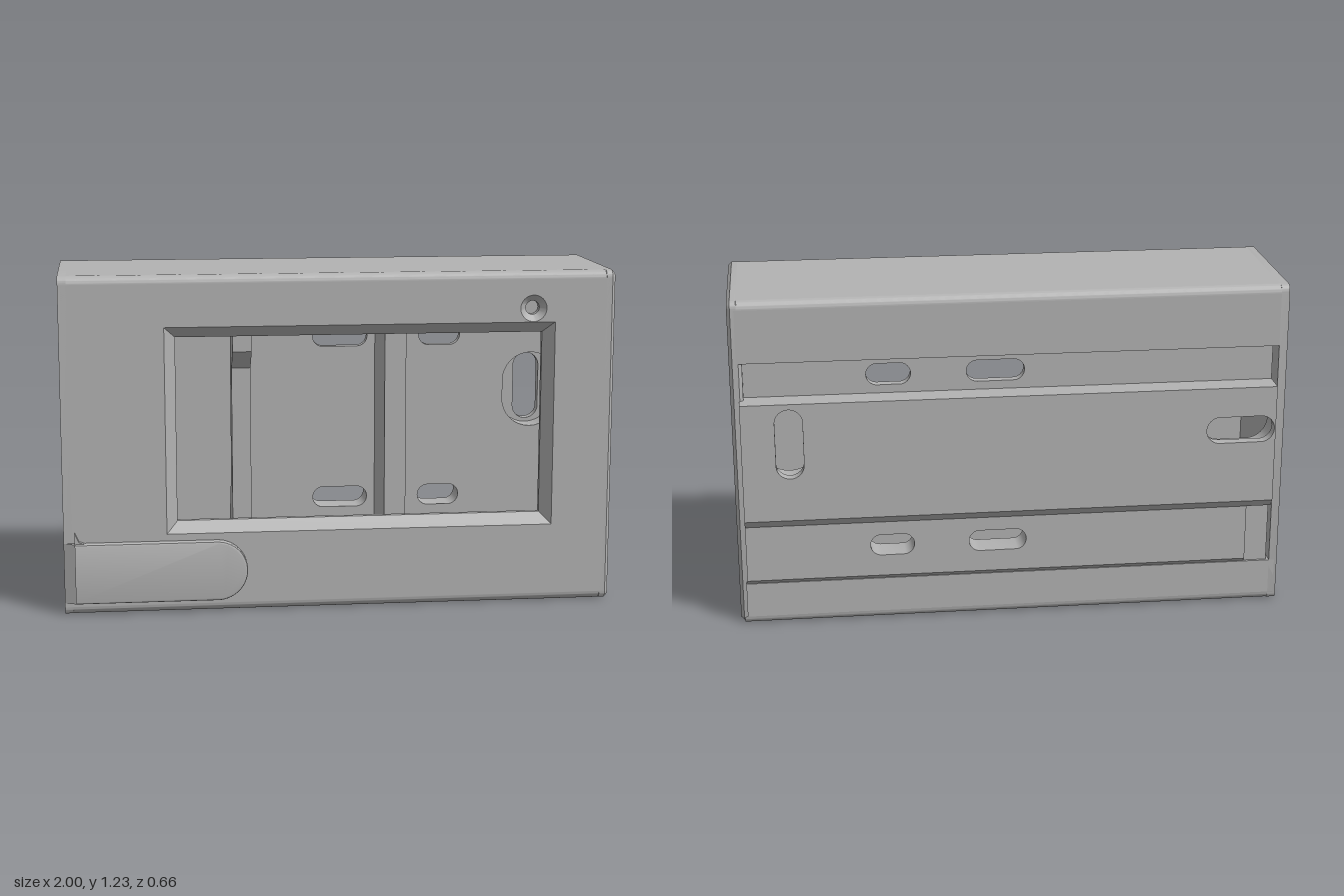
import * as THREE from 'three';
import { toCreasedNormals } from 'three/addons/utils/BufferGeometryUtils.js';

const casing = new THREE.MeshStandardMaterial({ color: 0xb2b2b2, side: THREE.DoubleSide });
casing.name = 'casingGrey';

function add(group, name, geo) {
  const mesh = new THREE.Mesh(geo, casing);
  mesh.name = name;
  group.add(mesh);
  return mesh;
}

// Outline helpers
const rect = (x0, y0, x1, y1) => [[x0, y0], [x1, y0], [x1, y1], [x0, y1]].map(p => new THREE.Vector2(...p));

function circle(cx, cy, r, n = 32) {
  return Array.from({ length: n }, (_, i) => {
    const a = (i / n) * Math.PI * 2;
    return new THREE.Vector2(cx + r * Math.cos(a), cy + r * Math.sin(a));
  });
}

// Oblong with overall width w and height h
function slot(cx, cy, w, h) {
  const r = Math.min(w, h) / 2, dx = w / 2 - r, dy = h / 2 - r;
  return circle(0, 0, r, 32).map((p, i) => {
    const a = ((i + 0.5) / 32) * Math.PI * 2;
    return new THREE.Vector2(cx + p.x + Math.sign(Math.cos(a)) * dx, cy + p.y + Math.sign(Math.sin(a)) * dy);
  });
}

function shapeOf(outline, holes = []) {
  const s = new THREE.Shape(outline);
  s.holes = holes.map(h => new THREE.Path(h));
  return s;
}

// Plate facing the z axis, between z0 and z1
function plate(outline, holes, z0, z1) {
  const geo = new THREE.ExtrudeGeometry(shapeOf(outline, holes), { depth: z1 - z0, bevelEnabled: false });
  return toCreasedNormals(geo.translate(0, 0, z0), 0.5);
}

// Shape drawn in (-z, y), extruded along x
function alongX(shape, x0, x1, bevel = 0) {
  const geo = new THREE.ExtrudeGeometry(shape, {
    depth: x1 - x0 - 2 * bevel, bevelEnabled: bevel > 0, bevelSize: bevel,
    bevelThickness: bevel, bevelOffset: -bevel, bevelSegments: 1
  });
  return toCreasedNormals(geo.translate(0, 0, x0 + bevel).rotateY(Math.PI / 2), 0.5);
}
const prism = (zy, x0, x1) => alongX(new THREE.Shape(zy.map(([z, y]) => new THREE.Vector2(-z, y))), x0, x1);

// Inward-facing wall of an opening: list of [outline, z], front to back
function openingWall(loops) {
  const pos = [];
  for (let k = 0; k + 1 < loops.length; k++) {
    const [a, za] = loops[k], [b, zb] = loops[k + 1], n = a.length;
    for (let i = 0; i < n; i++) {
      const j = (i + 1) % n;
      pos.push(a[i].x, a[i].y, za, a[j].x, a[j].y, za, b[i].x, b[i].y, zb);
      pos.push(a[j].x, a[j].y, za, b[j].x, b[j].y, zb, b[i].x, b[i].y, zb);
    }
  }
  const geo = new THREE.BufferGeometry();
  geo.setAttribute('position', new THREE.Float32BufferAttribute(pos, 3));
  geo.computeVertexNormals();
  return toCreasedNormals(geo, 0.5);
}

// Rounded end profile; the back edge may lean forward at the bottom
function endProfile(backBottom) {
  const r = 0.03, H = 1.225, s = new THREE.Shape();
  s.moveTo(-0.30 + r, 0);
  s.lineTo(-backBottom - r, 0);
  s.quadraticCurveTo(-backBottom, 0, -backBottom, r);
  s.lineTo(0.285, H - r);
  s.quadraticCurveTo(0.285, H, 0.285 - r, H);
  s.lineTo(-0.30 + r, H);
  s.quadraticCurveTo(-0.30, H, -0.30, H - r);
  s.lineTo(-0.30, r);
  s.quadraticCurveTo(-0.30, 0, -0.30 + r, 0);
  return s;
}

function buildCase() {
  const g = new THREE.Group();
  g.name = 'case';

  // Rounded long edges
  for (const [z, y, start] of [[0.27, 1.195, 0.5], [-0.255, 1.195, 0], [0.27, 0.03, 1], [-0.255, 0.03, 1.5]]) {
    const s = new THREE.Shape();
    s.moveTo(-z, y);
    s.absarc(-z, y, 0.03, start * Math.PI, (start + 0.5) * Math.PI);
    add(g, 'roundedEdge', alongX(s, -0.99, 0.985));
  }

  // Top and bottom walls, the bottom one with a cable opening
  const wall = rect(-0.99, -0.27, 0.985, 0.255);
  for (const [name, y, holes] of [['topWall', 1.195, []], ['bottomWall', 0, [slot(0.12, -0.165, 0.38, 0.17)]]]) {
    add(g, name, plate(wall, holes, 0, 0.03).rotateX(-Math.PI / 2).translate(0, y, 0));
  }

  // End walls
  add(g, 'leftEnd', alongX(endProfile(-0.265), 0.955, 1, 0.012));
  add(g, 'rightEnd', alongX(endProfile(-0.285), -1, -0.97));

  // Front panel with chamfered window and countersunk screw hole
  const outer = rect(-0.63, 0.29, 0.78, 1.04), inner = rect(-0.59, 0.33, 0.74, 1.0);
  const face = rect(-0.99, 0.03, 0.985, 1.195);
  const ring = r => circle(0.70, 1.09, r);
  add(g, 'frontFace', new THREE.ShapeGeometry(shapeOf(face, [outer, ring(0.048)])).translate(0, 0, 0.30));
  add(g, 'frontInnerFace', new THREE.ShapeGeometry(shapeOf(face, [inner]))
    .translate(0, 0, 0.24));
  add(g, 'windowFrame', openingWall([[outer, 0.30], [inner, 0.26], [inner, 0.24]]));
  add(g, 'screwHole', openingWall([[ring(0.048), 0.30], [ring(0.025), 0.275], [ring(0.025), 0.25]]));
  add(g, 'screwHoleFloor', new THREE.CircleGeometry(0.025, 32).translate(0.70, 1.09, 0.25));

  // Lips above and below the rear recess
  for (const [y0, y1] of [[0.03, 0.16], [1.0, 1.195]]) {
    add(g, 'rearLip', plate(rect(-0.99, y0, 0.975, y1), [], -0.285, -0.235));
  }

  // Inner supports
  add(g, 'gussetRib', prism([[0.10, 0.03], [-0.21, 0.03], [0.02, 0.45], [0.02, 1.195],
    [0.17, 1.195], [0.17, 0.93], [0.10, 0.86]], -0.38, -0.31));
  add(g, 'dividerRib', prism([[0.08, 0.03], [-0.235, 0.03], [-0.235, 1.195], [0.08, 1.195]], 0.19, 0.27));
  return g;
}

function buildBracket() {
  const g = new THREE.Group();
  g.name = 'mountingBracket';
  const x0 = -0.96, x1 = 0.97;
  const pair = y => [slot(0.055, y, 0.21, 0.08), slot(0.44, y, 0.16, 0.08)];

  add(g, 'upperFlange', plate(rect(x0, 0.86, x1, 1.0), pair(0.93), -0.235, -0.20));
  // Raised centre, slots widened on the inside
  add(g, 'centrePlate', plate(rect(x0, 0.42, x1, 0.86),
    [slot(0.80, 0.71, 0.1, 0.26), slot(-0.83, 0.70, 0.25, 0.1)], -0.33, -0.29));
  add(g, 'centreBacking', plate(rect(x0, 0.42, x1, 0.86),
    [slot(0.80, 0.71, 0.22, 0.29), slot(-0.83, 0.70, 0.26, 0.16)], -0.29, -0.20));
  add(g, 'stepBevel', prism([[-0.20, 0.39], [-0.305, 0.39], [-0.33, 0.42], [-0.20, 0.42]], x0, x1));
  // Lower flange stops short of the right end
  add(g, 'lowerFlange', plate(rect(-0.87, 0.18, x1, 0.39), pair(0.30), -0.305, -0.20));
  add(g, 'lowerBevel', prism([[-0.20, 0.155], [-0.275, 0.155], [-0.305, 0.18], [-0.20, 0.18]], -0.87, x1));
  add(g, 'flangeNotch', plate(rect(x0, 0.155, -0.87, 0.39), [], -0.275, -0.20));
  return g;
}

function buildTab() {
  const g = new THREE.Group();
  g.name = 'frontTab';
  const s = new THREE.Shape();
  s.moveTo(-1, 0.045);
  s.lineTo(-0.45, 0.045);
  s.absarc(-0.45, 0.155, 0.11, -Math.PI / 2, Math.PI / 2);
  s.lineTo(-1, 0.265);
  const geo = new THREE.ExtrudeGeometry(s, {
    depth: 0.022, bevelSize: 0.008, bevelThickness: 0.008, bevelOffset: -0.008, bevelSegments: 2, curveSegments: 20
  }).translate(0, 0, 0.30);
  // Slope the outer end
  const p = geo.attributes.position;
  for (let i = 0; i < p.count; i++) {
    if (p.getX(i) < -0.9) p.setX(i, p.getZ(i) > 0.315 ? -0.96 : -1);
  }
  geo.computeVertexNormals();
  add(g, 'tab', toCreasedNormals(geo, 0.5));
  add(g, 'tabFin', plate([[-0.96, 0.26], [-0.91, 0.26], [-0.945, 0.272], [-0.96, 0.305]]
    .map(q => new THREE.Vector2(...q)), [], 0.30, 0.318));
  return g;
}

export function createModel() {
  const model = new THREE.Group();
  model.name = 'wallMountEnclosure';
  model.add(buildCase(), buildBracket(), buildTab());
  return model;
}
